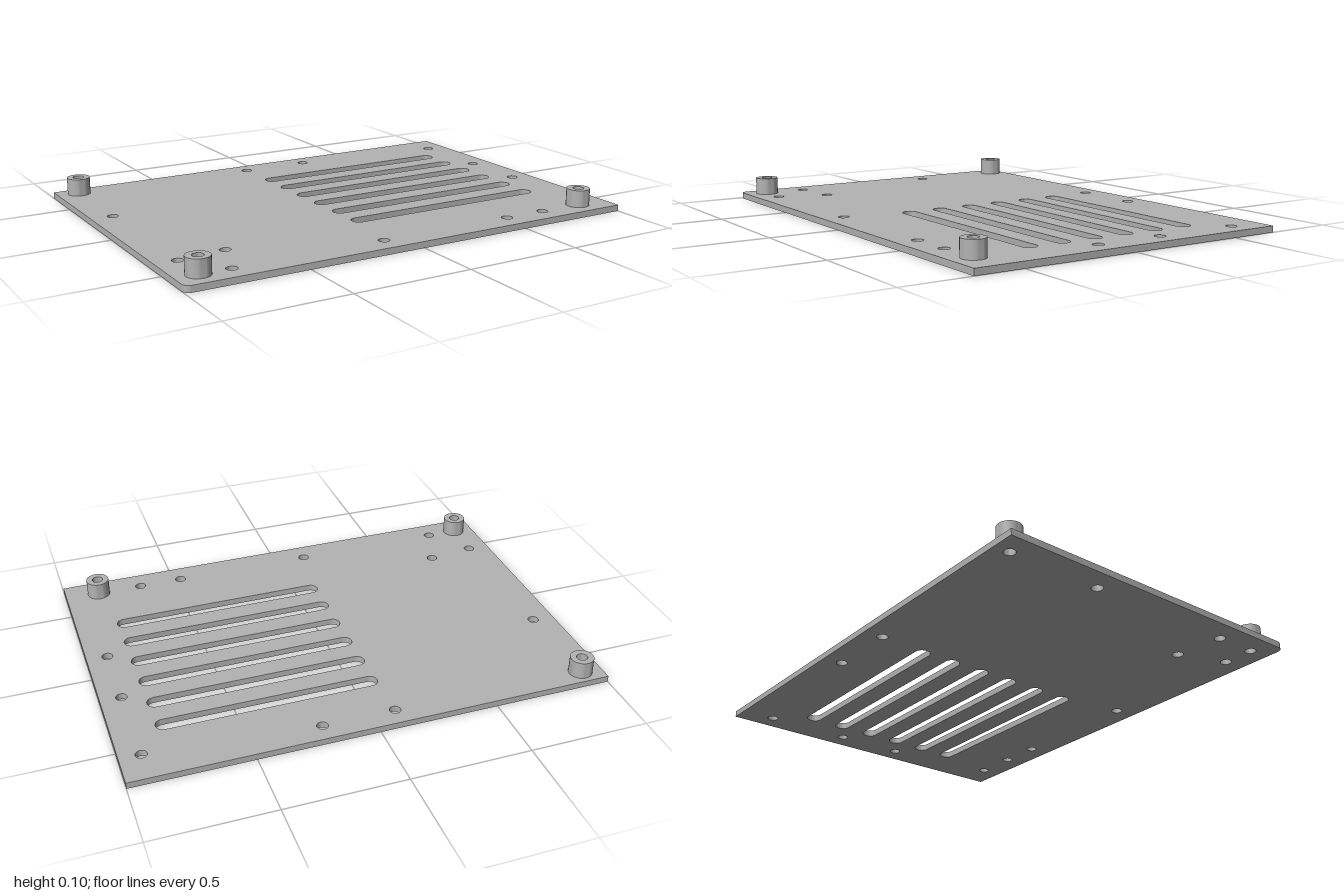
import * as THREE from 'three';
import { toCreasedNormals } from 'three/addons/utils/BufferGeometryUtils.js';

const THICK = 0.027, TOP = 0.1, HOLE = 0.023, BOSS = 0.049;

// Screw holes as [x, z]
const HOLES = [
  [-0.09, -0.627], [0.213, -0.627], [0.912, -0.565], [0.912, -0.19], [0.912, 0.109],
  [-0.907, -0.228], [-0.907, 0.433], [-0.702, 0.408],
  [-0.776, 0.615], [-0.126, 0.615], [0.475, 0.615], [0.662, 0.615],
];
// Standoff posts as [x, z]
const POSTS = [[-0.907, -0.64], [-0.907, 0.615], [0.854, 0.615]];

function circle(x, y, r) {
  return new THREE.Path().absarc(x, y, r, 0, Math.PI * 2, true);
}

function slot(x0, x1, y, r) {
  const p = new THREE.Path();
  p.absarc(x1 - r, y, r, -Math.PI / 2, Math.PI / 2, false);
  p.absarc(x0 + r, y, r, Math.PI / 2, Math.PI * 1.5, false);
  p.closePath();
  return p;
}

// Extrude an outline drawn in x and -z upward from y0
function extrudeUp(shape, y0, height) {
  const g = new THREE.ExtrudeGeometry(shape, { depth: height, bevelEnabled: false, curveSegments: 16 });
  g.rotateX(-Math.PI / 2);
  g.translate(0, y0, 0);
  return toCreasedNormals(g, 0.6);
}

export function createModel() {
  const model = new THREE.Group();
  model.name = 'ventedMountingPlate';
  const metal = new THREE.MeshStandardMaterial({ color: 0xb3b3b3 });
  metal.name = 'greyMetal';

  // Base plate with one rounded front corner
  const W = 1, D = 0.708, R = 0.03;
  const outline = new THREE.Shape();
  outline.moveTo(-W + R, -D);
  outline.lineTo(W, -D);
  outline.lineTo(W, D);
  outline.lineTo(-W, D);
  outline.lineTo(-W, -D + R);
  outline.absarc(-W + R, -D + R, R, Math.PI, Math.PI * 1.5, false);

  // Screw holes, including those under the posts
  for (const [x, z] of [...HOLES, ...POSTS]) outline.holes.push(circle(x, -z, HOLE));
  // Six ventilation slots
  for (let i = 0; i < 6; i++) outline.holes.push(slot(-0.097, 0.825, 0.416 - i * 0.15, 0.032));

  const plate = new THREE.Mesh(extrudeUp(outline, 0, THICK), metal);
  plate.name = 'basePlate';
  model.add(plate);

  // Hollow standoff posts
  const ring = new THREE.Shape().absarc(0, 0, BOSS, 0, Math.PI * 2, false);
  ring.holes.push(circle(0, 0, HOLE));
  const postGeometry = extrudeUp(ring, THICK, TOP - THICK);
  for (const [x, z] of POSTS) {
    const post = new THREE.Mesh(postGeometry, metal);
    post.name = 'standoffPost';
    post.position.set(x, 0, z);
    model.add(post);
  }
  return model;
}
